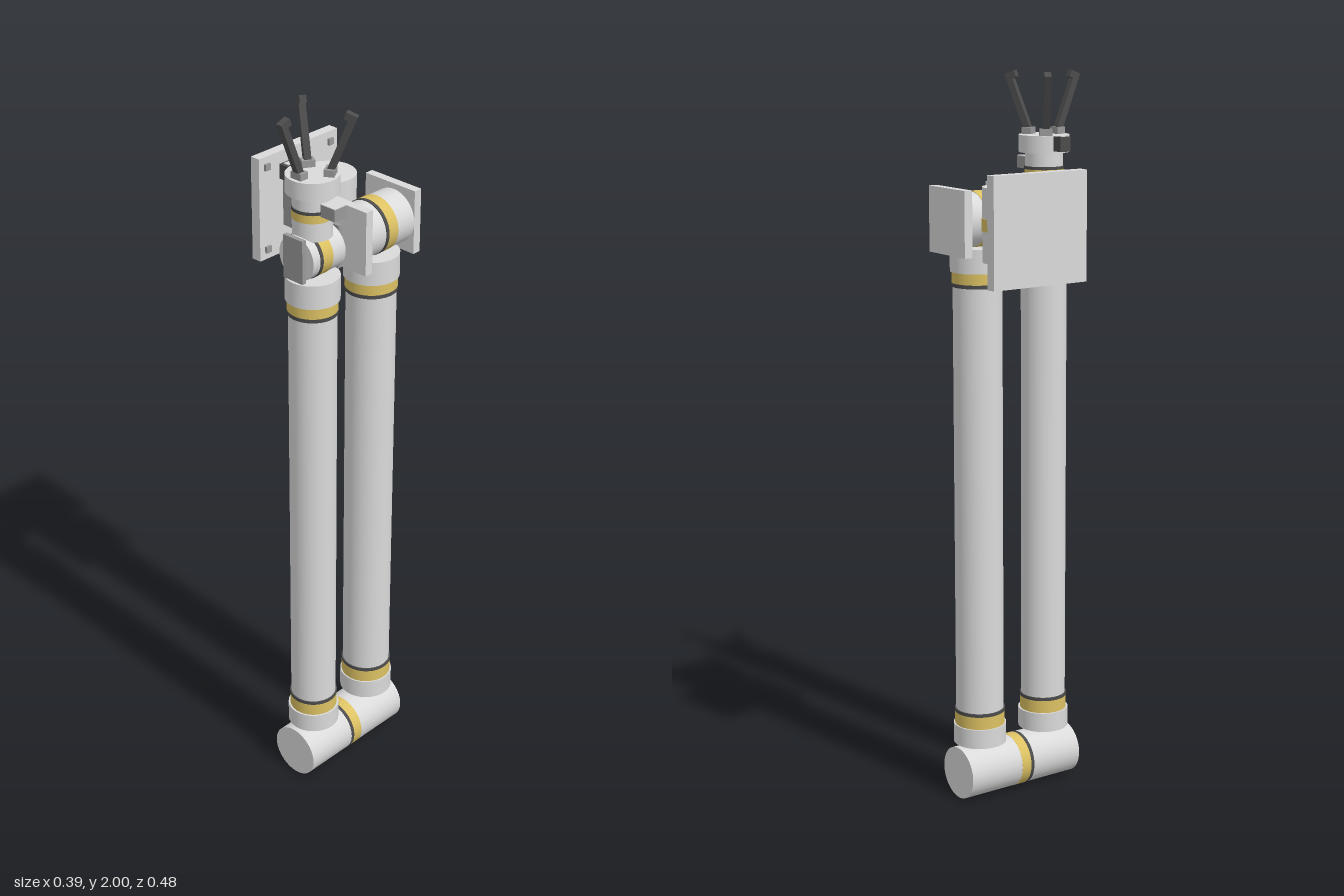
import * as THREE from 'three';

const mat = (name, color) => {
  const m = new THREE.MeshStandardMaterial({ color });
  m.name = name;
  return m;
};

export function createModel() {
  const light = mat('light grey shell', 0xdadada);
  const mid = mat('mid grey bracket', 0x999999);
  const dark = mat('dark grey rubber', 0x4c4c4c);
  const yellow = mat('yellow band', 0xdcc163);

  const model = new THREE.Group();
  model.name = 'foldedRobotArm';
  const group = (name, parent = model) => {
    const g = new THREE.Group();
    g.name = name;
    parent.add(g);
    return g;
  };
  const add = (parent, name, geo, material, x, y, z) => {
    const m = new THREE.Mesh(geo, material);
    m.name = name;
    m.position.set(x, y, z);
    parent.add(m);
    return m;
  };
  // box given by its extents on each axis
  const box = (parent, name, material, [x0, x1], [y0, y1], [z0, z1]) =>
    add(parent, name, new THREE.BoxGeometry(x1 - x0, y1 - y0, z1 - z0), material,
      (x0 + x1) / 2, (y0 + y1) / 2, (z0 + z1) / 2);
  // cylinder along y or z, from a to b on that axis
  const rod = (parent, name, material, axis, r, a, b, x, other) => {
    const g = new THREE.CylinderGeometry(r, r, b - a, 48);
    if (axis === 'z') g.rotateX(Math.PI / 2);
    const c = (a + b) / 2;
    return axis === 'y' ? add(parent, name, g, material, x, c, other)
      : add(parent, name, g, material, x, other, c);
  };

  const X = 0.093, SY = 1.6225, REAR = -0.091, FRONT = 0.126;

  // Wall mount: plate, bolts and bracket
  const mount = group('wallMount');
  box(mount, 'mountPlate', light, [-0.197, -0.168], [SY - 0.144, SY + 0.144], [REAR - 0.145, REAR + 0.144]);
  for (const sy of [-1, 1]) for (const sz of [-1, 1]) {
    const y = SY + sy * 0.116, z = REAR + sz * 0.117;
    box(mount, 'mountBolt', mid, [-0.17, -0.161], [y - 0.009, y + 0.009], [z - 0.009, z + 0.009]);
  }
  box(mount, 'mountBracket', mid, [-0.168, -0.08], [SY - 0.066, SY + 0.066], [REAR - 0.058, REAR + 0.058]);

  // Vertical shoulder turret
  const turret = group('shoulderTurret');
  rod(turret, 'turretBody', light, 'y', 0.0725, 1.525, 1.72, -0.06, REAR);
  rod(turret, 'turretBand', yellow, 'y', 0.0742, 1.607, 1.64, -0.06, REAR);

  // Horizontal shoulder joint held between two plates
  const shoulder = group('shoulderJoint');
  rod(shoulder, 'shoulderBody', light, 'z', 0.0725, -0.171, -0.014, X, SY);
  rod(shoulder, 'shoulderBand', yellow, 'z', 0.0742, -0.109, -0.076, X, SY);
  rod(shoulder, 'shoulderRing', dark, 'z', 0.0744, -0.076, -0.066, X, SY);
  for (const z of [-0.195, -0.015])
    box(shoulder, 'shoulderPlate', light, [-0.004, 0.165], [SY - 0.0875, SY + 0.0875], [z, z + 0.024]);

  // The two long arm links, banded at each end
  const link = (name, z, r, capR, top) => {
    const g = group(name);
    rod(g, 'tube', light, 'y', r, 0.2, top - 0.06, X, z);
    rod(g, 'lowerCap', light, 'y', capR, 0.157, 0.212, X, z);
    rod(g, 'lowerBand', yellow, 'y', r + 0.003, 0.212, 0.248, X, z);
    rod(g, 'lowerRing', dark, 'y', r + 0.0035, 0.248, 0.257, X, z);
    rod(g, 'upperCap', light, 'y', capR, top - 0.065, top, X, z);
    rod(g, 'upperBand', yellow, 'y', r + 0.003, top - 0.095, top - 0.065, X, z);
    rod(g, 'upperRing', dark, 'y', r + 0.0035, top - 0.105, top - 0.095, X, z);
  };
  link('upperArm', REAR, 0.0665, 0.0735, 1.549);
  link('forearm', FRONT, 0.0625, 0.0705, 1.56);

  // Elbow at the bottom
  const elbow = group('elbow');
  rod(elbow, 'elbowBody', light, 'z', 0.0735, -0.164, 0.202, X, 0.0742);
  rod(elbow, 'elbowBand', yellow, 'z', 0.074, 0.004, 0.034, X, 0.0742);
  rod(elbow, 'elbowRing', dark, 'z', 0.0742, 0.034, 0.044, X, 0.0742);

  // Wrist pitch joint between two small plates
  const wrist = group('wrist');
  rod(wrist, 'wristBody', light, 'z', 0.059, 0.069, 0.183, X, SY);
  rod(wrist, 'wristBand', yellow, 'z', 0.0605, 0.114, 0.149, X, SY);
  rod(wrist, 'wristRing', dark, 'z', 0.061, 0.149, 0.158, X, SY);
  for (const z of [0.055, 0.183])
    box(wrist, 'wristPlate', mid, [X - 0.033, X + 0.033], [SY - 0.057, SY + 0.06], [z, z + 0.013]);

  // Wrist roll joint and tool flange
  rod(wrist, 'rollBody', light, 'y', 0.051, 1.67, 1.79, X, FRONT);
  rod(wrist, 'rollBand', yellow, 'y', 0.0525, 1.72, 1.742, X, FRONT);
  rod(wrist, 'rollRing', dark, 'y', 0.053, 1.742, 1.75, X, FRONT);
  rod(wrist, 'toolFlange', light, 'y', 0.068, 1.787, 1.833, X, FRONT);

  // Camera on one side, sensor block on the other
  const sensors = group('sensors');
  box(sensors, 'camera', dark, [-0.004, 0.027], [1.793, 1.832], [FRONT - 0.016, FRONT + 0.016]);
  box(sensors, 'cameraLens', light, [0.003, 0.019], [1.832, 1.834], [FRONT - 0.008, FRONT + 0.008]);
  box(sensors, 'sensorBlock', mid, [0.14, 0.188], [1.738, 1.77], [FRONT - 0.021, FRONT + 0.021]);
  box(sensors, 'sensorFace', light, [0.14, 0.188], [1.77, 1.772], [FRONT - 0.021, FRONT + 0.021]);

  // Three-finger gripper, fingers leaning outward
  const gripper = group('gripper');
  gripper.position.set(X, 1.833, FRONT);
  for (let i = 0; i < 3; i++) {
    const f = group('finger', gripper);
    f.rotation.y = (i * Math.PI * 2) / 3;
    box(f, 'knuckle', mid, [-0.017, 0.017], [-0.002, 0.018], [0.032, 0.058]);
    const lean = group('leaningFinger', f);
    lean.position.set(0, 0.005, 0.042);
    lean.rotation.x = 0.38;
    box(lean, 'fingerBar', dark, [-0.009, 0.009], [0, 0.155], [-0.008, 0.01]);
    box(lean, 'fingerTip', dark, [-0.009, 0.009], [0.148, 0.167], [-0.02, 0.01]);
  }
  return model;
}
